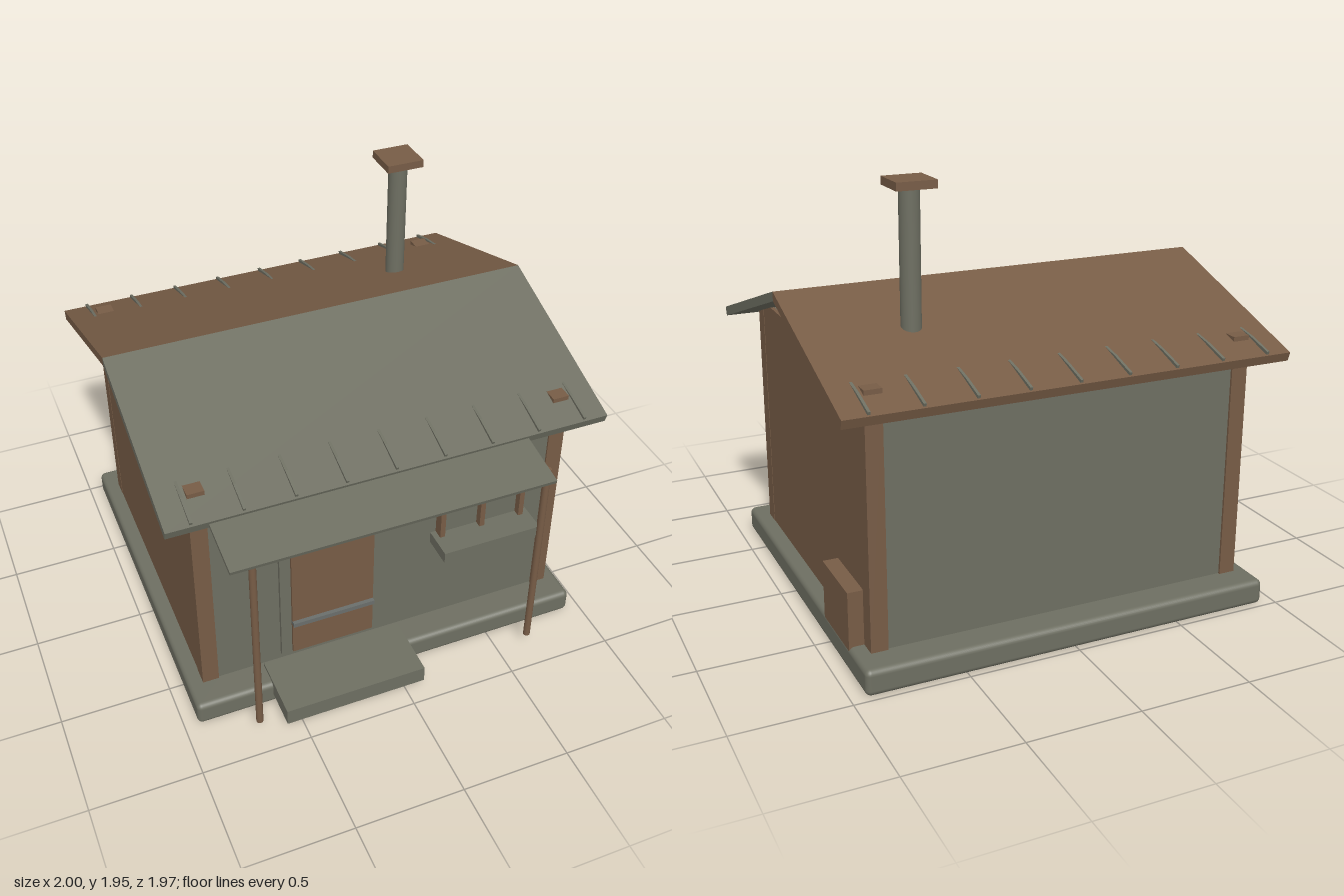
import * as THREE from 'three';
import { RoundedBoxGeometry } from 'three/addons/geometries/RoundedBoxGeometry.js';

export function createModel() {
  const model = new THREE.Group();
  model.name = 'cabin';
  const mat = (name, color) => {
    const m = new THREE.MeshStandardMaterial({ color });
    m.name = name;
    return m;
  };
  const grey = mat('weathered grey', 0x6e6f62);
  const brown = mat('timber brown', 0x775c46);
  const iron = mat('iron grey', 0x6a6e6b);

  const add = (name, geometry, material, parent = model) => {
    const mesh = new THREE.Mesh(geometry, material);
    mesh.name = name;
    parent.add(mesh);
    return mesh;
  };
  // Box given by its extents along each axis
  const box = (name, material, [x0, x1], [y0, y1], [z0, z1]) =>
    add(name, new THREE.BoxGeometry(x1 - x0, y1 - y0, z1 - z0), material)
      .position.set((x0 + x1) / 2, (y0 + y1) / 2, (z0 + z1) / 2);
  // Side profile of [z, y] points swept along x
  const sweep = (name, material, points, x0, x1) => {
    const shape = new THREE.Shape(points.map(([z, y]) => new THREE.Vector2(z, y)));
    const g = new THREE.ExtrudeGeometry(shape, { depth: x1 - x0, bevelEnabled: false });
    g.rotateY(-Math.PI / 2);
    g.translate(x1, 0, 0);
    return add(name, g, material);
  };

  // Foundation slab
  add('foundation', new RoundedBoxGeometry(1.875, 0.115, 1.73, 3, 0.025), grey)
    .position.set(0, 0.0575, -0.115);

  // Walls: grey core and attic floor, brown sides and corner posts
  box('wallCore', grey, [-0.86, 0.86], [0.11, 1.15], [-0.84, 0.612]);
  box('atticFloor', grey, [-0.86, 0.86], [1.14, 1.225], [-0.76, 0.53]);
  for (const s of [-1, 1]) {
    const span = (a, b) => [Math.min(s * a, s * b), Math.max(s * a, s * b)];
    box('sideWall', brown, span(0.85, 0.868), [0.11, 1.23], [-0.78, 0.55]);
    box('frontCornerPost', brown, span(0.795, 0.87), [0.11, 1.23], [0.54, 0.62]);
    box('backCornerPost', brown, span(0.795, 0.87), [0.11, 1.23], [-0.85, -0.77]);
  }
  box('sideLocker', brown, [0.86, 0.936], [0.055, 0.36], [-0.77, -0.455]);

  // Main roof and its small seam ribs, mirrored about the ridge
  const ridge = -0.115;
  for (const s of [1, -1]) {
    const side = s > 0 ? 'front' : 'back';
    const at = (points) => points.map(([d, y]) => [ridge + s * d, y]);
    sweep(side + 'Roof', s > 0 ? grey : brown,
      at([[0, 1.45], [0.855, 1.17], [0.842, 1.13], [0, 1.408]]), -1, 1);
    for (let i = 0; i < 9; i++) {
      const x = -0.89 + i * 0.2225;
      sweep(side + 'RoofRib', grey,
        at([[0.62, 1.244], [0.73, 1.221], [0.85, 1.186], [0.84, 1.155]]), x - 0.006, x + 0.006);
    }
  }

  // Porch roof, posts and step
  sweep('porchRoof', grey,
    [[0.985, 1.115], [0.98, 1.097], [0.63, 1.158], [0.63, 1.174]], -0.818, 0.615);
  for (const [x, z] of [[-0.695, 0.88], [0.641, 0.87]]) {
    add('porchPost', new THREE.CylinderGeometry(0.016, 0.016, 1.01, 16), brown)
      .position.set(x, 0.575, z);
  }
  box('doorStep', grey, [-0.583, 0.08], [0.05, 0.13], [0.63, 0.93]);

  // Door
  box('doorFrame', grey, [-0.495, -0.005], [0.15, 1.02], [0.6, 0.63]);
  box('door', brown, [-0.445, -0.055], [0.165, 0.97], [0.6, 0.643]);
  for (const y of [0.35, 0.793]) {
    box('doorStrap', iron, [-0.445, -0.055], [y - 0.011, y + 0.011], [0.62, 0.662]);
  }

  // Window
  box('windowPanel', grey, [0.275, 0.668], [0.63, 0.965], [0.6, 0.627]);
  box('windowSill', grey, [0.235, 0.71], [0.58, 0.635], [0.6, 0.763]);
  for (const x of [0.273, 0.47, 0.667]) {
    box('windowBar', brown, [x - 0.012, x + 0.012], [0.63, 0.98], [0.61, 0.66]);
  }

  // Stove pipe with cap
  add('chimneyPipe', new THREE.CylinderGeometry(0.044, 0.044, 0.65, 24), grey)
    .position.set(0.523, 1.59, -0.463);
  box('chimneyCap', brown, [0.435, 0.61], [1.91, 1.945], [-0.552, -0.378]);

  return model;
}
